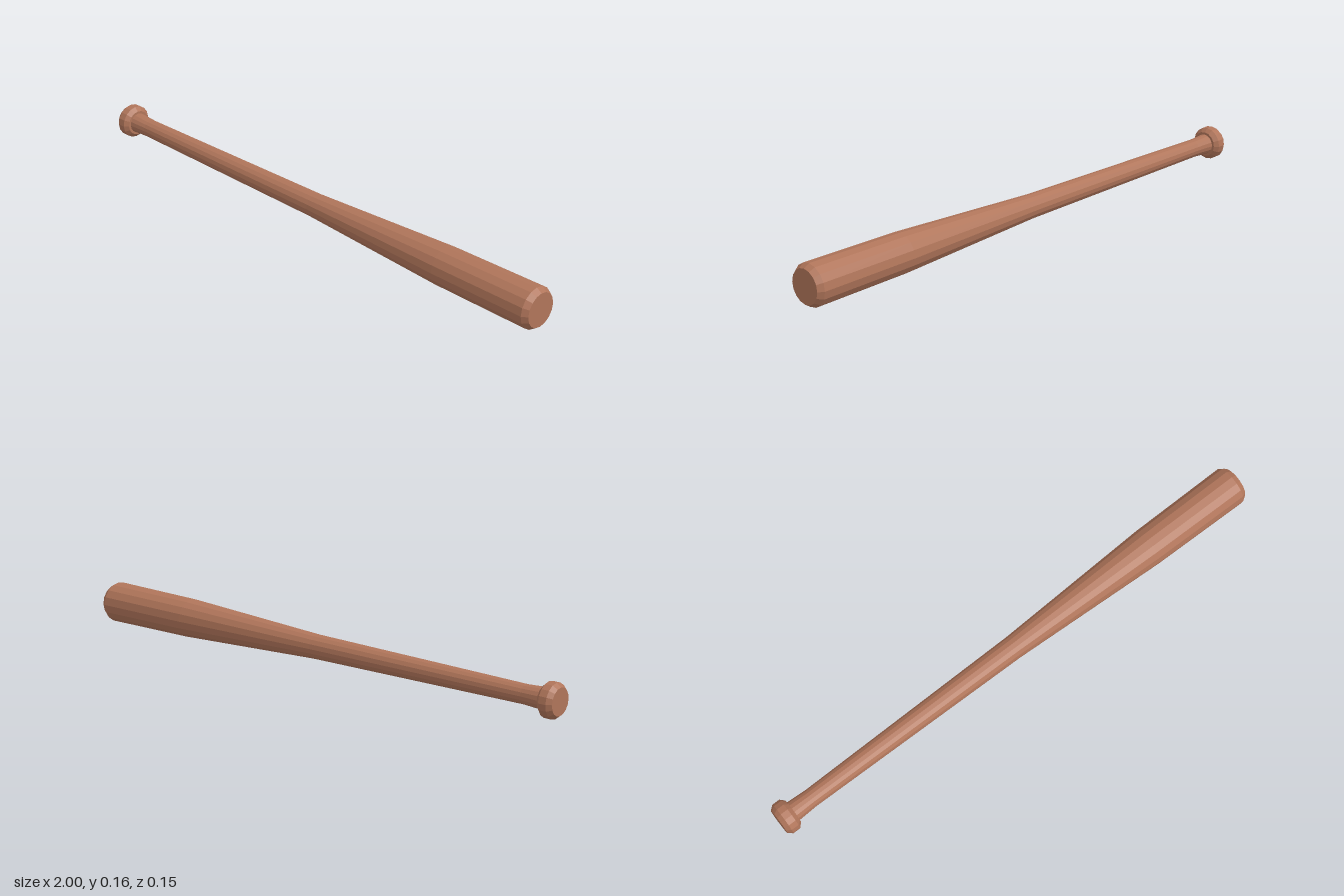
import * as THREE from 'three';

const SIDES = 16;

// Each profile lists [position along the bat, radius], from knob end to barrel end.
const PROFILES = {
  knob: [[-1, 0], [-1, 0.047], [-0.984, 0.06], [-0.956, 0.06], [-0.942, 0.046], [-0.942, 0.036]],
  handle: [[-0.942, 0.037], [-0.87, 0.033], [0, 0.043]],
  taper: [[0, 0.043], [0.6, 0.07]],
  barrel: [[0.6, 0.07], [0.98, 0.074], [1, 0.061], [1, 0]],
};

export function createModel() {
  const wood = new THREE.MeshStandardMaterial({ color: 0xb0755a, flatShading: true });
  wood.name = 'wood';

  const bat = new THREE.Group();
  bat.name = 'bat';
  for (const [name, profile] of Object.entries(PROFILES)) {
    const points = profile.map(([along, radius]) => new THREE.Vector2(radius, along));
    const part = new THREE.Mesh(new THREE.LatheGeometry(points, SIDES), wood);
    part.name = name;
    bat.add(part);
  }

  // Lay the bat along x, resting on its knob and barrel, so it tilts slightly.
  bat.rotation.z = -Math.PI / 2 + 0.012;
  bat.position.y = 0.072;

  const model = new THREE.Group();
  model.name = 'model';
  model.add(bat);
  return model;
}
